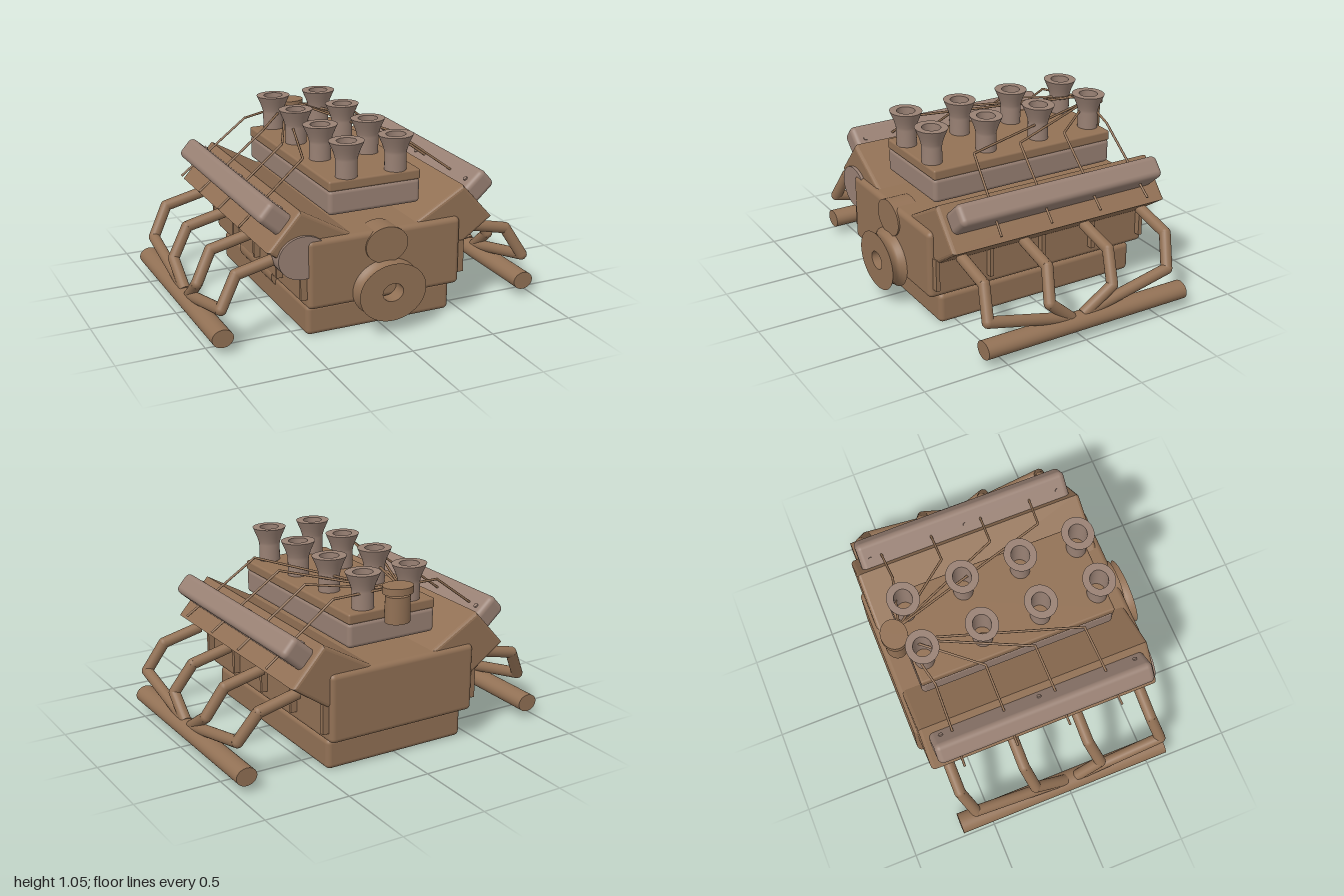
import * as THREE from 'three';
import { mergeGeometries } from 'three/addons/utils/BufferGeometryUtils.js';
import { RoundedBoxGeometry } from 'three/addons/geometries/RoundedBoxGeometry.js';

export function createModel() {
  const engine = new THREE.Group();
  engine.name = 'engine';

  const bronze = new THREE.MeshStandardMaterial({ color: 0x927155 });
  bronze.name = 'bronze';
  const paleMetal = new THREE.MeshStandardMaterial({ color: 0x998174 });
  paleMetal.name = 'paleMetal';

  const add = (name, geometry, material, x = 0, y = 0, z = 0, parent = engine) => {
    const mesh = new THREE.Mesh(geometry, material);
    mesh.name = name;
    mesh.position.set(x, y, z);
    parent.add(mesh);
    return mesh;
  };
  const lathe = (pts, segments = 40) =>
    new THREE.LatheGeometry(pts.map(([r, y]) => new THREE.Vector2(r, y)), segments);
  // Oval rod running along z
  const rod = (rx, ry, length) =>
    new THREE.CylinderGeometry(1, 1, length, 40).rotateX(Math.PI / 2).scale(rx, ry, 1);
  // Straight pipe runs with ball joints at the bends
  const pipe = (points, r, sides) => {
    const pts = points.map((p) => new THREE.Vector3(...p));
    const parts = [];
    for (let i = 0; i < pts.length - 1; i++) {
      const dir = pts[i + 1].clone().sub(pts[i]);
      const run = new THREE.CylinderGeometry(r, r, dir.length(), sides);
      run.applyQuaternion(new THREE.Quaternion().setFromUnitVectors(
        new THREE.Vector3(0, 1, 0), dir.clone().normalize()));
      const mid = pts[i].clone().add(pts[i + 1]).multiplyScalar(0.5);
      parts.push(run.translate(mid.x, mid.y, mid.z));
      if (i > 0) parts.push(new THREE.SphereGeometry(r, sides, 8).translate(pts[i].x, pts[i].y, pts[i].z));
    }
    return mergeGeometries(parts);
  };

  // Block and oil pan
  add('block', new RoundedBoxGeometry(0.93, 0.4, 1.44, 4, 0.03), bronze, 0, 0.39, -0.045);
  add('oilPan', new RoundedBoxGeometry(0.89, 0.18, 1.29, 4, 0.03), bronze, 0, 0.095, -0.045);

  // Crank pulley with a grooved rim and a bored hub
  const pulley = lathe([
    [0.052, -0.045], [0.168, -0.045], [0.168, -0.045], [0.155, -0.03], [0.146, -0.012], [0.144, 0],
    [0.146, 0.012], [0.155, 0.03], [0.168, 0.045], [0.168, 0.045], [0.052, 0.045], [0.052, 0.045],
    [0.052, -0.045],
  ], 48).rotateX(Math.PI / 2).scale(1.21, 1, 1);
  add('crankPulley', pulley, bronze, 0, 0.253, 0.72);
  add('camCover', rod(0.128, 0.104, 0.145), bronze, 0, 0.503, 0.612);
  add('oilFilter', rod(0.146, 0.123, 0.16), paleMetal, -0.487, 0.5, 0.583);
  add('starter', rod(0.08, 0.07, 0.5), bronze, -0.39, 0.19, -0.1);

  // Intake
  add('intakePlenum', new RoundedBoxGeometry(0.56, 0.145, 1.17, 4, 0.025), paleMetal, 0, 0.732, -0.052);
  add('intakePlate', new RoundedBoxGeometry(0.56, 0.06, 1.17, 3, 0.012), bronze, 0, 0.827, -0.052);

  // Open intake stacks with flared mouths
  const stack = lathe([
    [0.057, 0], [0.057, 0.1], [0.06, 0.118], [0.069, 0.148], [0.081, 0.178], [0.092, 0.205],
    [0.092, 0.205], [0.052, 0.205], [0.052, 0.205], [0.052, 0],
  ]).scale(1.1, 1, 1);
  for (const x of [-0.15, 0.15]) {
    for (const z of [-0.568, -0.22, 0.128, 0.476]) add('intakeStack', stack, paleMetal, x, 0.855, z);
  }

  // Distributor
  const distributor = new THREE.Group();
  distributor.name = 'distributor';
  distributor.position.z = -0.683;
  distributor.scale.x = 1.18;
  engine.add(distributor);
  add('distributorBody', new THREE.CylinderGeometry(0.062, 0.062, 0.152, 32), bronze, 0, 0.861, 0, distributor);
  add('distributorNeck', new THREE.CylinderGeometry(0.03, 0.03, 0.04, 20), bronze, 0, 0.945, 0, distributor);
  add('distributorCap', new THREE.CylinderGeometry(0.076, 0.076, 0.04, 32), bronze, 0, 0.971, 0, distributor);

  for (const s of [1, -1]) {
    const side = new THREE.Group();
    side.name = s > 0 ? 'leftBank' : 'rightBank';
    engine.add(side);

    // Cylinder head, angled outward
    const outline = [[0.15, 0.562], [0.497, 0.762], [0.686, 0.55], [0.475, 0.405], [0.3, 0.405]];
    const head = new THREE.ExtrudeGeometry(
      new THREE.Shape(outline.map(([x, y]) => new THREE.Vector2(s * x, y))),
      { depth: 1.35, bevelEnabled: true, bevelThickness: 0.02, bevelSize: 0.02, bevelOffset: -0.02, bevelSegments: 3 });
    add('cylinderHead', head, bronze, 0, 0, -0.725, side);

    // Valve cover with three bolts on its inner face
    const cover = new THREE.Group();
    cover.name = 'valveCover';
    cover.position.set(s * 0.61, 0.71, -0.048);
    cover.rotation.z = -s * 0.846;
    side.add(cover);
    add('coverShell', new RoundedBoxGeometry(0.13, 0.2, 1.305, 5, 0.032), paleMetal, 0, 0, 0, cover);
    for (const z of [-0.59, 0, 0.585]) {
      const bolt = new THREE.CylinderGeometry(0.013, 0.013, 0.02, 14).rotateZ(Math.PI / 2);
      add('coverBolt', bolt, paleMetal, -s * 0.062, 0, z, cover);
    }

    // Ribs along the block wall
    for (let i = 0; i < 5; i++) {
      add('blockRib', new THREE.BoxGeometry(0.06, 0.19, 0.024), bronze, s * 0.472, 0.345, 0.64 - i * 0.341, side);
    }

    // Exhaust headers: port z, lower bend z, merge z
    for (const [port, bend, merge] of [
      [0.55, 0.585, 0.06], [0.155, 0.2, 0.06], [-0.245, -0.21, -0.02], [-0.64, -0.585, -0.02],
    ]) {
      add('exhaustHeader', pipe([
        [s * 0.6, 0.48, port], [s * 0.835, 0.425, port], [s * 0.935, 0.255, bend], [s * 0.935, 0.13, merge],
      ], 0.033, 20), bronze, 0, 0, 0, side);
    }
    add('exhaustCollector', rod(0.062, 0.052, 1.305), bronze, s * 0.938, 0.097, -0.038, side);

    // Spark plug wires from the distributor through the covers
    for (const [bend, end] of [[-0.57, -0.57], [-0.275, -0.25], [0.02, 0.07], [0.315, 0.39]]) {
      add('plugWire', pipe([
        [s * 0.04, 0.968, -0.64], [s * 0.338, 0.937, bend], [s * 0.75, 0.625, end],
      ], 0.007, 8), bronze, 0, 0, 0, side);
    }
  }
  return engine;
}
